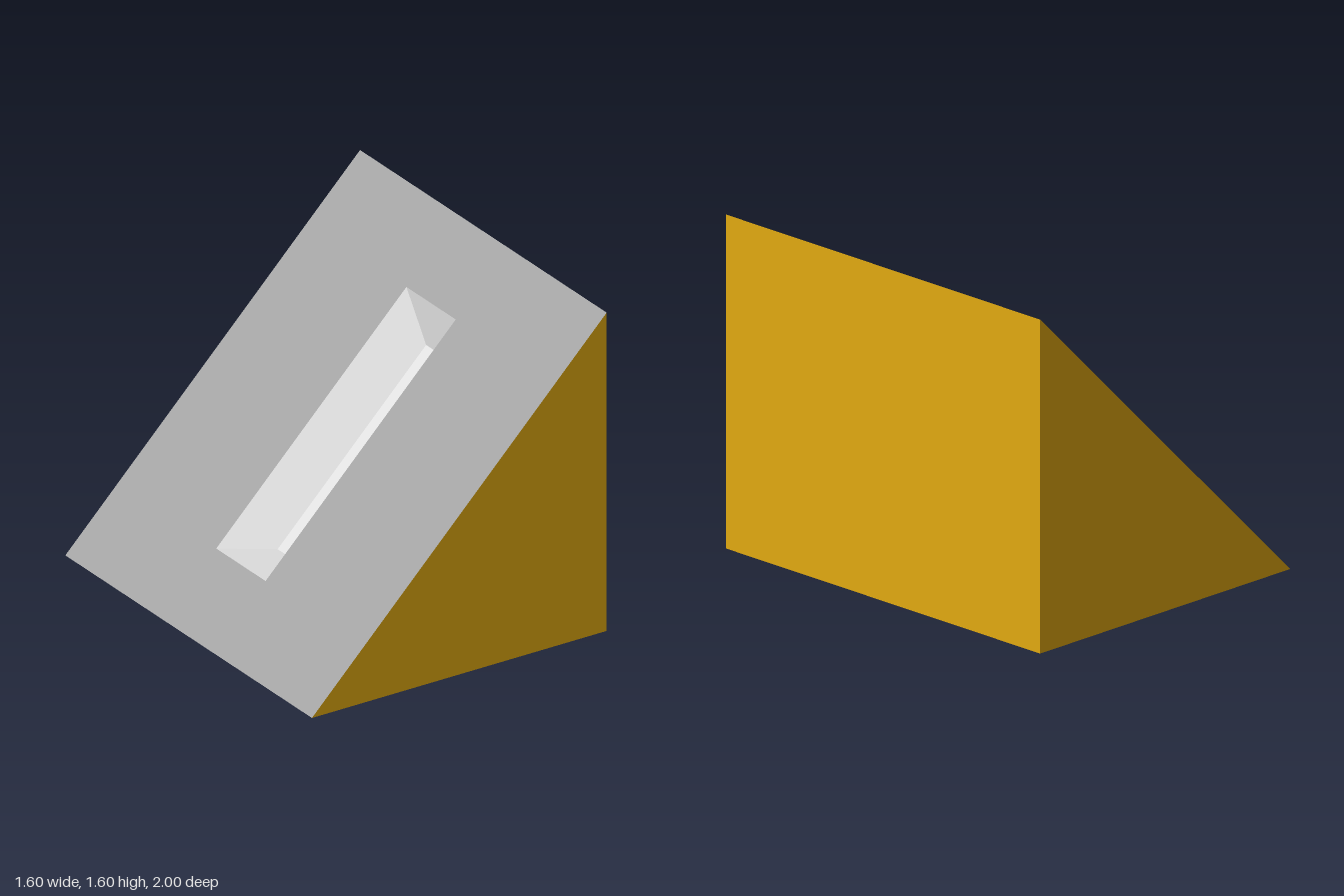
import * as THREE from 'three';

const mat = (name, color) => {
  const m = new THREE.MeshStandardMaterial({ color });
  m.name = name;
  return m;
};

// Flat faces from convex corner loops, listed counter-clockwise from outside
function faces(name, material, loops) {
  const pos = [];
  for (const p of loops)
    for (let i = 1; i < p.length - 1; i++) pos.push(...p[0], ...p[i], ...p[i + 1]);
  const geo = new THREE.BufferGeometry();
  geo.setAttribute('position', new THREE.Float32BufferAttribute(pos, 3));
  geo.computeVertexNormals();
  const mesh = new THREE.Mesh(geo, material);
  mesh.name = name;
  return mesh;
}

const rect = (u, v, z = 0) => [[-u, -v, z], [u, -v, z], [u, v, z], [-u, v, z]];

export function createModel() {
  const yellow = mat('golden yellow', 0xe1a910);
  const grey = mat('mid grey', 0x9f9f9f);
  const light = mat('light grey', 0xdddddd);
  const model = new THREE.Group();
  model.name = 'wedge';

  // Wedge body: two triangular ends, tall wall and base
  const W = 0.8, H = 1.6, D = 1;
  model.add(faces('wedgeBody', yellow, [
    [[-W, 0, D], [W, 0, D], [W, H, D]],
    [[-W, 0, -D], [W, H, -D], [W, 0, -D]],
    [[W, 0, D], [W, 0, -D], [W, H, -D], [W, H, D]],
    [[-W, 0, -D], [W, 0, -D], [W, 0, D], [-W, 0, D]],
  ]));

  // Slope frame: local x runs uphill, local z points out of the slope
  const slope = new THREE.Group();
  slope.name = 'slope';
  const s = Math.SQRT1_2;
  slope.applyMatrix4(new THREE.Matrix4().makeBasis(
    new THREE.Vector3(s, s, 0), new THREE.Vector3(0, 0, -1), new THREE.Vector3(-s, s, 0)));
  slope.position.set(0, H / 2, 0);
  model.add(slope);

  // Sloped panel with the slot cut out
  const rim = rect(0.73, 0.2), floor = rect(0.57, 0.04, -0.16);
  const toShape = (C, pts) => new C(pts.map(([x, y]) => new THREE.Vector2(x, y)));
  const shape = toShape(THREE.Shape, rect(W / s, D));
  shape.holes.push(toShape(THREE.Path, rim));
  const panel = new THREE.Mesh(new THREE.ShapeGeometry(shape), grey);
  panel.name = 'slopePanel';
  slope.add(panel);

  // Recessed slot: four walls tapering at 45 degrees to a narrow floor
  const walls = rim.map((p, i) => {
    const j = (i + 1) % 4;
    return [p, rim[j], floor[j], floor[i]];
  });
  slope.add(faces('slotRecess', light, [...walls, floor]));

  return model;
}
